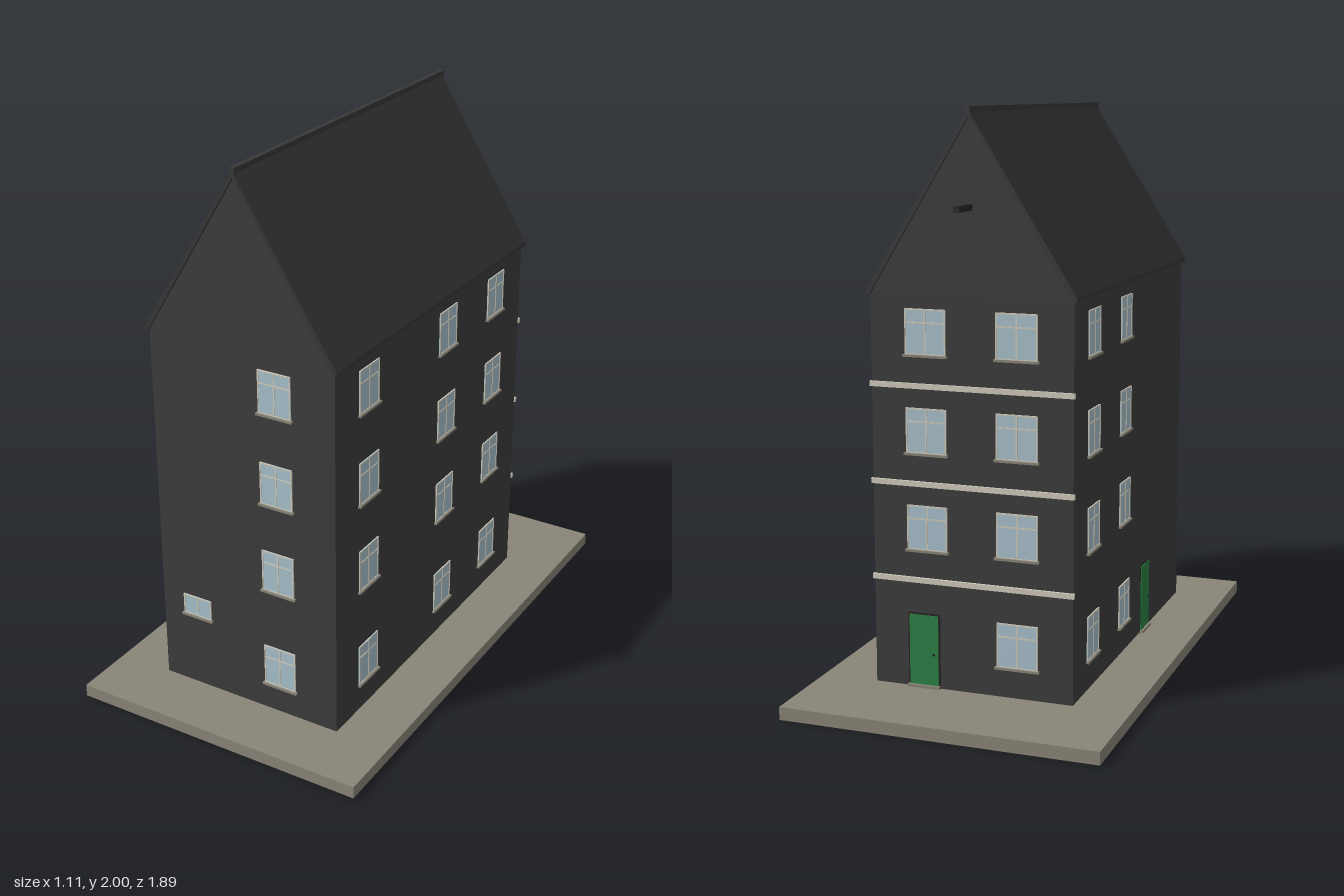
import * as THREE from 'three';

const mat = (name, color) => {
  const m = new THREE.MeshStandardMaterial({ color });
  m.name = name;
  return m;
};

const X = 0.355, ZF = 0.72, ZB = -0.61;      // wall planes
const GROUND = 0.045, EAVE = 1.395, RIDGE = 1.975;
const ROWS = [0.148, 0.526, 0.858, 1.19];    // window bottoms per storey

export function createModel() {
  const M = {
    wall: mat('charcoal wall', 0x3c3c3c),
    roof: mat('dark roof', 0x383838),
    stone: mat('paving stone', 0x8a8578),
    trim: mat('cream trim', 0xcfcaba),
    glass: mat('pale blue glass', 0xa9c1cc),
    door: mat('green door', 0x2c8044),
    iron: mat('dark iron', 0x262626),
  };
  const house = new THREE.Group();
  house.name = 'townHouse';

  const box = (parent, name, m, w, h, d, x, y, z) => {
    const b = new THREE.Mesh(new THREE.BoxGeometry(w, h, d), m);
    b.name = name;
    b.position.set(x, y, z);
    parent.add(b);
    return b;
  };
  // Outline in x/y extruded between two z values
  const prism = (name, m, pts, z0, z1) => {
    const shape = new THREE.Shape(pts.map(p => new THREE.Vector2(p[0], p[1])));
    const g = new THREE.ExtrudeGeometry(shape, { depth: z1 - z0, bevelEnabled: false });
    const p = new THREE.Mesh(g, m);
    p.name = name;
    p.position.z = z0;
    house.add(p);
  };

  // Base, walls and gabled attic
  const zc = (ZF + ZB) / 2, len = ZF - ZB;
  box(house, 'pavement', M.stone, 1.11, GROUND, 1.89, 0, GROUND / 2, 0);
  box(house, 'walls', M.wall, 2 * X, EAVE - GROUND, len, 0, (EAVE + GROUND) / 2, zc);
  prism('gable', M.wall, [[-X, EAVE], [X, EAVE], [0, RIDGE - 0.005]], ZB, ZF);

  // Roof covering, ridge cap and hoisting beam
  prism('roof', M.roof, [[-0.367, 1.388], [-X, 1.388], [0, RIDGE - 0.008], [X, 1.388],
    [0.367, 1.388], [0.367, 1.403], [0, 1.988], [-0.367, 1.403]], ZB - 0.01, ZF + 0.01);
  box(house, 'ridgeCap', M.roof, 0.018, 0.018, len + 0.026, 0, 1.991, zc - 0.003);
  box(house, 'hoistBeam', M.iron, 0.02, 0.02, 0.125, 0, 1.68, ZB - 0.0525);

  // Places a group on a wall, local +z pointing outwards; u is the x or z coordinate
  const onWall = (name, side, u, y) => {
    const g = new THREE.Group();
    g.name = name;
    if (side === 'front') g.position.set(u, y, ZF);
    if (side === 'back') { g.position.set(u, y, ZB); g.rotation.y = Math.PI; }
    if (side === 'left') { g.position.set(X, y, u); g.rotation.y = Math.PI / 2; }
    if (side === 'right') { g.position.set(-X, y, u); g.rotation.y = -Math.PI / 2; }
    house.add(g);
    return g;
  };

  const addWindow = (side, u, y, w = 0.125, h = 0.155, transom = true) => {
    const g = onWall('window', side, u, y);
    const t = 0.005;
    box(g, 'glass', M.glass, w, h, 0.004, 0, h / 2, 0.001);
    for (const s of [-1, 1]) {
      box(g, 'frameSide', M.trim, t, h, 0.005, s * (w - t) / 2, h / 2, 0.0025);
      box(g, 'frameRail', M.trim, w, t, 0.005, 0, h / 2 + s * (h - t) / 2, 0.0025);
    }
    box(g, 'mullion', M.trim, t, h, 0.005, 0, h / 2, 0.0025);
    if (transom) box(g, 'transom', M.trim, w, t, 0.005, 0, h * 0.7, 0.0025);
    box(g, 'sill', M.stone, w + 0.012, 0.008, 0.012, 0, -0.002, 0.005);
  };

  const addDoor = (side, u) => {
    const g = onWall('door', side, u, GROUND);
    box(g, 'doorSurround', M.iron, 0.116, 0.262, 0.006, 0, 0.131, 0.001);
    box(g, 'doorLeaf', M.door, 0.104, 0.256, 0.008, 0, 0.128, 0.003);
    box(g, 'doorstep', M.stone, 0.116, 0.01, 0.016, 0, 0.005, 0.008);
    box(g, 'doorKnob', M.iron, 0.007, 0.007, 0.008, 0.036, 0.12, 0.008);
  };

  // Windows of every storey
  ROWS.forEach((y, i) => {
    addWindow('front', 0.13, y);
    for (const z of [0.51, -0.033, -0.4]) addWindow('left', z, y);
    for (const z of [-0.033, -0.4]) addWindow('right', z, y);
    addWindow('back', -0.16, y, 0.145);
    if (i > 0) addWindow('back', 0.16, y, 0.145);
  });
  addWindow('front', -0.21, 0.325, 0.115, 0.078, false);

  // Doors
  addDoor('back', 0.175);
  addDoor('right', 0.232);

  // Stone bands across the back wall
  for (const y of [0.422, 0.755, 1.087])
    box(house, 'stoneBand', M.trim, 2 * X + 0.01, 0.018, 0.012, 0, y, ZB - 0.003);

  return house;
}
